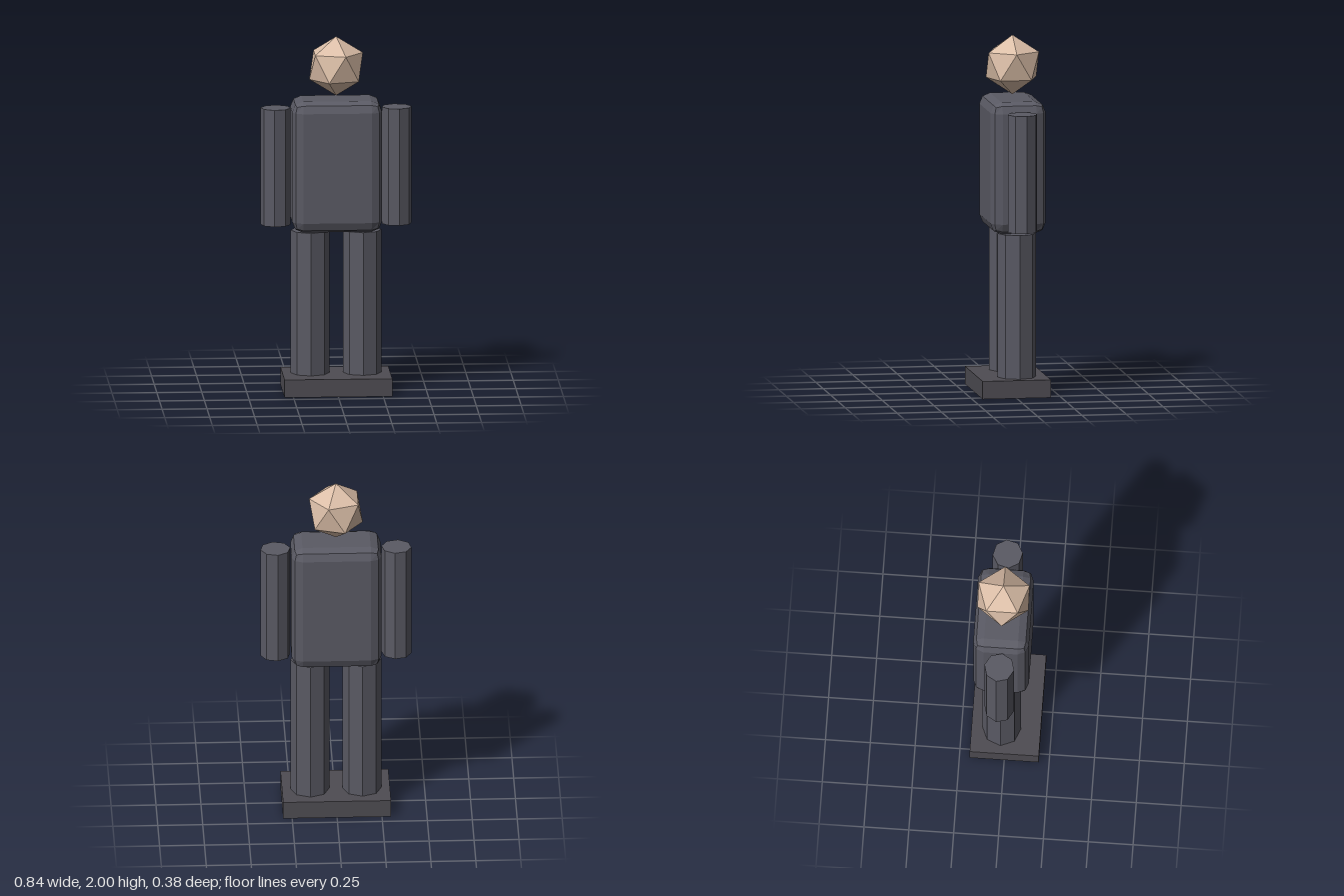
import * as THREE from 'three';
import { RoundedBoxGeometry } from 'three/addons/geometries/RoundedBoxGeometry.js';
import { ConvexGeometry } from 'three/addons/geometries/ConvexGeometry.js';

const BODY_Z = -0.025; // the figure stands slightly behind the middle of its base

const material = (color) => new THREE.MeshStandardMaterial({ color, flatShading: true });

// Icosahedron standing on a point, with an upper-ring corner towards +x
function headGeometry(r) {
  const points = [new THREE.Vector3(0, r, 0), new THREE.Vector3(0, -r, 0)];
  const ringY = r / Math.sqrt(5);
  for (let i = 0; i < 10; i++) {
    const a = (i * Math.PI) / 5;
    const y = i % 2 ? -ringY : ringY;
    points.push(new THREE.Vector3(2 * ringY * Math.cos(a), y, 2 * ringY * Math.sin(a)));
  }
  return new ConvexGeometry(points);
}

export function createModel() {
  const model = new THREE.Group();
  model.name = 'figurine';
  const cloth = material(0x5a5a64);
  const stone = material(0x4e4c52);
  const skin = material(0xdcbfa8);

  const add = (name, geometry, mat, x, y, z) => {
    const mesh = new THREE.Mesh(geometry, mat);
    mesh.name = name;
    mesh.position.set(x, y, z);
    model.add(mesh);
    return mesh;
  };

  // Display base
  add('base', new THREE.BoxGeometry(0.6, 0.1, 0.385), stone, 0, 0.05, 0);

  // Torso with bevelled edges
  add('torso', new RoundedBoxGeometry(0.5, 0.74, 0.31, 1, 0.06), cloth, 0, 1.28, BODY_Z);

  // Eight-sided limbs on both sides; the arms are turned slightly, mirrored
  for (const [side, s] of [['left', 1], ['right', -1]]) {
    add(side + 'Leg', new THREE.CylinderGeometry(0.108, 0.108, 0.807, 8), cloth, s * 0.145, 0.5035, BODY_Z);
    const arm = add(side + 'Arm', new THREE.CylinderGeometry(0.084, 0.084, 0.66, 8), cloth, s * 0.337, 1.27, BODY_Z);
    arm.rotation.y = s * THREE.MathUtils.degToRad(8);
  }

  // Faceted head floating above the torso
  add('head', headGeometry(0.167), skin, 0, 1.833, BODY_Z);

  return model;
}
